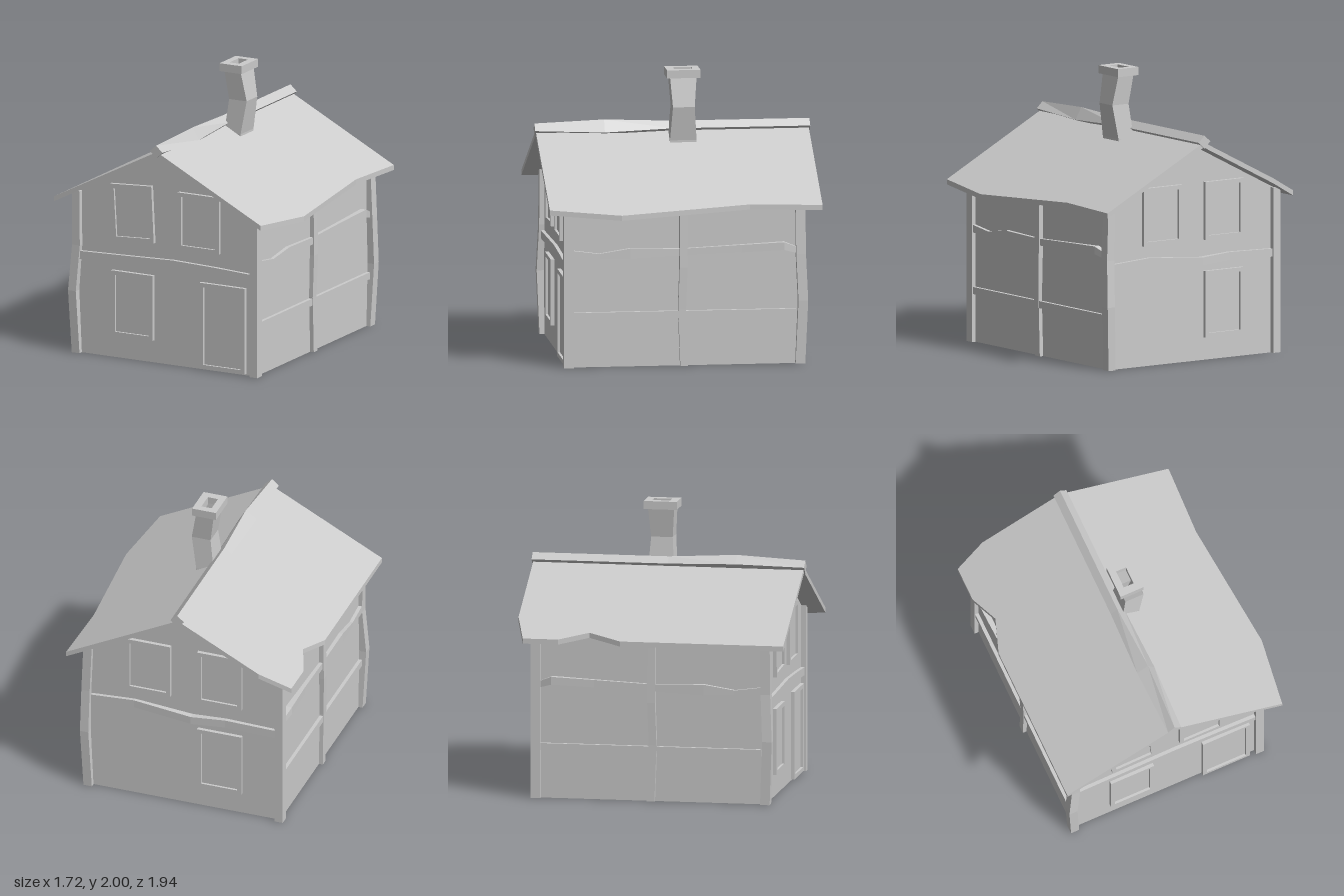
import * as THREE from 'three';

const material = new THREE.MeshStandardMaterial({ color: 0xcccccc, flatShading: true, side: THREE.DoubleSide });

function add(parent, name, geometry) {
  const mesh = new THREE.Mesh(geometry, material);
  mesh.name = name;
  parent.add(mesh);
  return mesh;
}

// Joins a row of equal-sided rings into a faceted solid; faces are turned outward by signed volume.
function loft(rings, closed = false) {
  const tris = [];
  const n = rings[0].length;
  const last = closed ? rings.length : rings.length - 1;
  for (let i = 0; i < last; i++) {
    const a = rings[i], b = rings[(i + 1) % rings.length];
    for (let j = 0; j < n; j++) {
      const k = (j + 1) % n;
      tris.push([a[j], a[k], b[k]], [a[j], b[k], b[j]]);
    }
  }
  if (!closed) {
    const a = rings[0], b = rings[rings.length - 1];
    for (let j = 1; j < n - 1; j++) tris.push([a[0], a[j + 1], a[j]], [b[0], b[j], b[j + 1]]);
  }
  let volume = 0;
  for (const [p, q, r] of tris) {
    volume += p[0] * (q[1] * r[2] - q[2] * r[1]) + p[1] * (q[2] * r[0] - q[0] * r[2]) + p[2] * (q[0] * r[1] - q[1] * r[0]);
  }
  if (volume < 0) tris.forEach((t) => t.reverse());
  const geometry = new THREE.BufferGeometry();
  geometry.setAttribute('position', new THREE.Float32BufferAttribute(tris.flat(2), 3));
  geometry.computeVertexNormals();
  return geometry;
}

// Rectangular rings lying flat, across x and across z.
const flatRing = (x0, x1, y, z0, z1) => [[x0, y, z0], [x1, y, z0], [x1, y, z1], [x0, y, z1]];
const ringAtZ = (x0, x1, y0, y1, z) => [[x0, y0, z], [x1, y0, z], [x1, y1, z], [x0, y1, z]];
const ringAtX = (x, y0, y1, z0, z1) => [[x, y0, z0], [x, y1, z0], [x, y1, z1], [x, y0, z1]];

const LEFT = -0.75, RIGHT = 0.67, DEPTH = 0.815, MID = -0.04, EAVE = 1.17;
const roofY = (x) => 1.565 - Math.abs(x - MID) * 0.515;

function polygon(points) {
  return new THREE.Shape(points.map(([x, y]) => new THREE.Vector2(x, y)));
}

// Frame with a recessed panel, from four corners on a gable wall.
function addOpening(parent, name, corners, side) {
  const group = new THREE.Group();
  group.name = name;
  const cx = corners.reduce((s, c) => s + c[0], 0) / 4;
  const cy = corners.reduce((s, c) => s + c[1], 0) / 4;
  const inner = corners.map(([x, y]) => [x + Math.sign(cx - x) * 0.03, y + Math.sign(cy - y) * 0.03]);
  const frame = polygon(corners);
  frame.holes.push(polygon(inner));
  const place = (mesh, near, far) => { mesh.position.z = side > 0 ? near : -far; };
  place(add(group, name + 'Frame', new THREE.ExtrudeGeometry(frame, { depth: 0.03, bevelEnabled: false })), 0.812, 0.842);
  place(add(group, name + 'Panel', new THREE.ExtrudeGeometry(polygon(inner), { depth: 0.01, bevelEnabled: false })), 0.815, 0.825);
  parent.add(group);
}
const rect = (x0, x1, y0, y1) => [[x0, y0], [x1, y0], [x1, y1], [x0, y1]];

export function createModel() {
  const house = new THREE.Group();
  house.name = 'house';

  // Thin walls, open underneath
  const gable = polygon([[LEFT, 0], [RIGHT, 0], [RIGHT, EAVE], [MID, 1.54], [LEFT, EAVE]]);
  add(house, 'frontWall', new THREE.ShapeGeometry(gable)).position.z = DEPTH;
  const back = add(house, 'backWall', new THREE.ShapeGeometry(gable.clone()).translate(-MID, 0, 0).rotateY(Math.PI));
  back.position.set(MID, 0, -DEPTH);
  for (const [name, x, s] of [['rightWall', RIGHT, 1], ['leftWall', LEFT, -1]]) {
    const wall = add(house, name, new THREE.PlaneGeometry(2 * DEPTH, EAVE));
    wall.rotation.y = s * Math.PI / 2;
    wall.position.set(x, EAVE / 2, 0);
  }

  // Corner posts, two of them bowed outward
  for (const sx of [-1, 1]) for (const sz of [-1, 1]) {
    const x = sx < 0 ? LEFT : RIGHT, bow = sx !== sz ? 1 : 0;
    const rows = [[0, 0, 0], [0.45, 0.02, 0.018], [0.78, sx > 0 ? 0.015 : -0.004, 0.003], [EAVE, 0, 0]];
    add(house, 'cornerPost', loft(rows.map(([y, dx, dz]) => {
      const px = x + sx * dx * bow, pz = sz * (DEPTH + dz * bow);
      return flatRing(px - 0.031, px + 0.031, y, pz - 0.034, pz + 0.034);
    })));
  }

  // Side framing: middle post, straight lower beam and crooked upper beam
  for (const [x, s] of [[RIGHT, 1], [LEFT, -1]]) {
    const x0 = x - 0.025, x1 = x + 0.025;
    const post = [[0, 0.03, 0], [0.4, 0.045, 0], [0.7, 0.035, 0.006], [EAVE, 0.035, 0]];
    add(house, 'middlePost', loft(post.map(([y, z, d]) => flatRing(x0 - 0.004 + s * d, x1 + 0.004 + s * d, y, z - 0.055, z))));
    add(house, 'lowerBeam', loft([DEPTH - 0.03, 0.03 - DEPTH].map((z) => ringAtZ(x0, x1, 0.34, 0.39, z))));
    const beam = [[0.785, 0.775, 0.83, 0], [0.6, 0.77, 0.805, 0], [0.38, 0.765, 0.84, 0.005], [0.02, 0.782, 0.83, 0],
      [-0.4, 0.797, 0.85, 0.006], [-0.7, 0.81, 0.865, 0.02], [-0.785, 0.785, 0.83, 0]];
    add(house, 'upperBeam', loft(beam.map(([z, y0, y1, d]) => ringAtZ(x0 + s * d, x1 + s * d, y0, y1, z))));
  }

  // Gable beams
  const frontRows = [[-0.73, 0.68, 0], [-0.35, 0.692, 0], [0.02, 0.705, 0], [0.35, 0.695, 0], [0.65, 0.68, 0]];
  const backRows = [[-0.73, 0.68, 0], [-0.35, 0.69, 0.005], [-0.1, 0.675, 0.02], [0.33, 0.71, 0], [0.65, 0.69, 0]];
  for (const [name, rows, s] of [['frontBeam', frontRows, 1], ['backBeam', backRows, -1]]) {
    add(house, name, loft(rows.map(([x, y, d]) => ringAtX(x, y, y + 0.057, s * (0.79 + d), s * (0.84 + d)))));
  }

  // Door and windows
  addOpening(house, 'door', rect(0.235, 0.595, 0.01, 0.63), 1);
  addOpening(house, 'crookedWindow', [[-0.46, 0.85], [-0.13, 0.865], [-0.15, 1.275], [-0.48, 1.255]], 1);
  addOpening(house, 'upperWindow', rect(0.06, 0.39, 0.85, 1.26), 1);
  addOpening(house, 'lowerWindow', rect(-0.47, -0.14, 0.16, 0.63), 1);
  addOpening(house, 'backUpperWindow', rect(0.06, 0.39, 0.85, 1.26), -1);
  addOpening(house, 'backUpperWindow', rect(-0.47, -0.14, 0.85, 1.26), -1);
  addOpening(house, 'backLowerWindow', rect(-0.47, -0.14, 0.16, 0.63), -1);

  // Roof slabs with uneven eaves: [z, eave x]
  const eaves = {
    leftRoof: [[0.96, -0.86], [-0.2, -0.86], [-0.43, -0.78], [-0.64, -0.86], [-0.89, -0.86], [-0.96, -0.64]],
    rightRoof: [[0.96, 0.79], [0.46, 0.86], [-0.45, 0.77], [-0.96, 0.79]],
  };
  for (const [name, rows] of Object.entries(eaves)) {
    add(house, name, loft(rows.map(([z, x]) => [
      [MID, roofY(MID), z], [x, roofY(x), z], [x, roofY(x) - 0.036, z], [MID, roofY(MID) - 0.036, z],
    ])));
  }

  // Ridge beam set on its corner, with one twisted bulge
  const diamond = (z, l, t, r, b) => [[...l, z], [...t, z], [...r, z], [...b, z]];
  const plain = (z) => diamond(z, [-0.09, 1.57], [-0.04, 1.613], [0.01, 1.567], [-0.04, 1.522]);
  add(house, 'ridgeBeam', loft([
    plain(0.968), diamond(0.48, [-0.105, 1.582], [-0.022, 1.635], [0.028, 1.55], [-0.04, 1.522]), plain(0), plain(-0.968),
  ]));

  // Hollow bent chimney and its cap
  add(house, 'chimney', loft([
    flatRing(-0.015, 0.115, 1.46, -0.155, 0.032),
    flatRing(-0.015, 0.115, 1.5, -0.155, 0.032),
    flatRing(0.015, 0.155, 1.74, -0.137, 0.016),
    flatRing(-0.015, 0.115, 1.95, -0.155, 0.032),
    flatRing(0.01, 0.085, 1.95, -0.13, 0),
    flatRing(0.045, 0.12, 1.74, -0.115, -0.01),
    flatRing(0.01, 0.085, 1.55, -0.13, 0),
  ]));
  add(house, 'chimneyCap', loft([
    flatRing(-0.04, 0.137, 1.943, -0.18, 0.055),
    flatRing(-0.04, 0.137, 2, -0.18, 0.055),
    flatRing(0.01, 0.085, 2, -0.13, 0),
    flatRing(0.01, 0.085, 1.943, -0.13, 0),
  ], true));

  return house;
}
